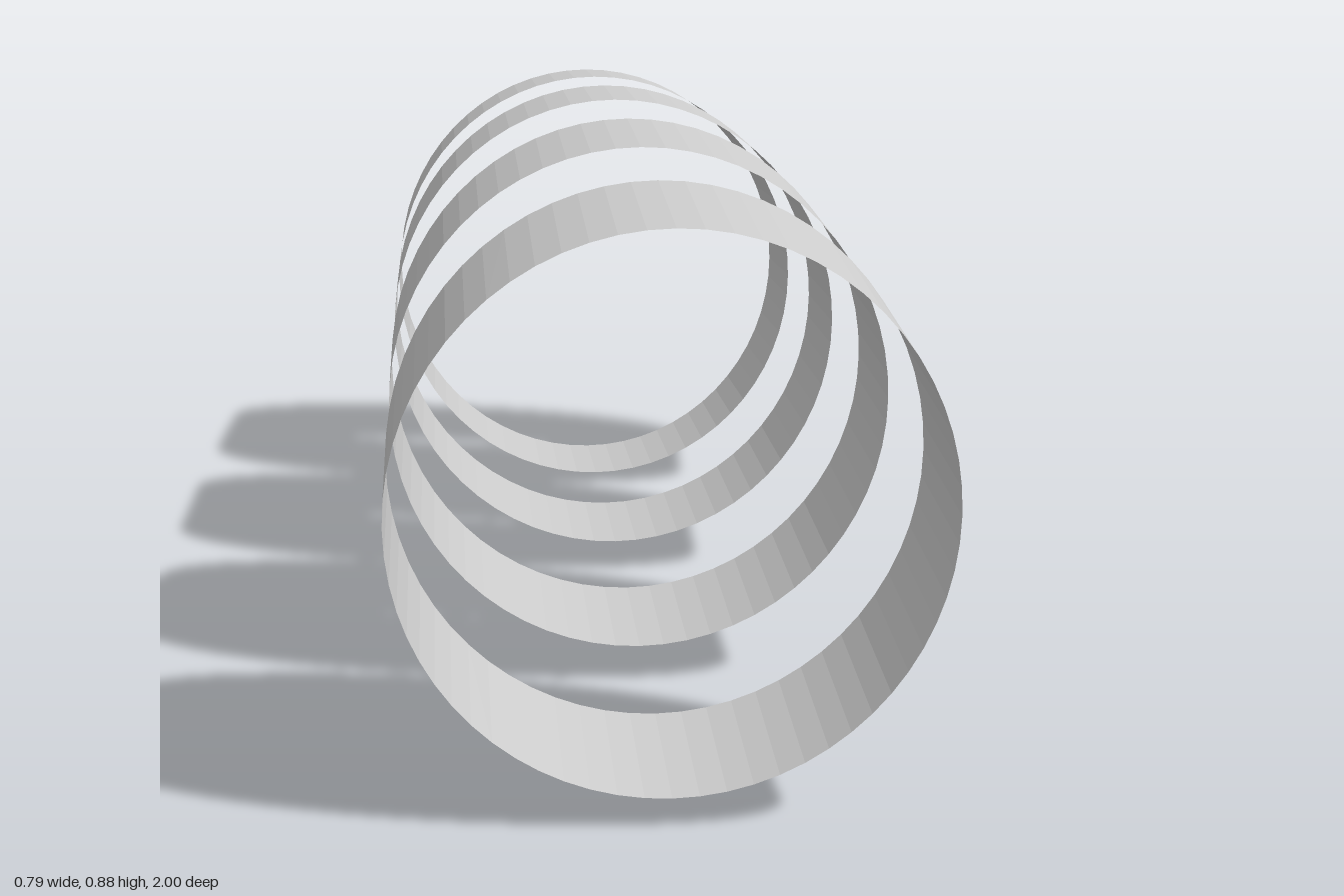
import * as THREE from 'three';

const HALF_WIDTH = 0.397;
const SEGMENTS = 64;

// Each ring: front rim then back rim, each as [top z, top y, bottom z, bottom y]
const RINGS = [
  { name: 'frontRing', front: [1.0, 0.865, 0.985, 0.047], back: [0.722, 0.881, 0.711, 0.062] },
  { name: 'frontMiddleRing', front: [0.43, 0.882, 0.428, 0.063], back: [0.15, 0.885, 0.152, 0.066] },
  { name: 'backMiddleRing', front: [-0.139, 0.876, -0.129, 0.057], back: [-0.425, 0.863, -0.405, 0.045] },
  { name: 'backRing', front: [-0.713, 0.842, -0.685, 0.023], back: [-1.0, 0.82, -0.962, 0.001] },
];

// Open band lofted between two tilted elliptical rims
function bandGeometry(front, back) {
  const geometry = new THREE.CylinderGeometry(1, 1, 1, SEGMENTS, 1, true);
  geometry.rotateX(Math.PI / 2); // axis along z, front rim at +z
  const p = geometry.attributes.position;
  for (let i = 0; i < p.count; i++) {
    const [zTop, yTop, zBottom, yBottom] = p.getZ(i) > 0 ? front : back;
    const t = (p.getY(i) + 1) / 2; // 0 at the bottom, 1 at the top
    p.setXYZ(
      i,
      p.getX(i) * HALF_WIDTH,
      THREE.MathUtils.lerp(yBottom, yTop, t),
      THREE.MathUtils.lerp(zBottom, zTop, t)
    );
  }
  geometry.computeVertexNormals();
  return geometry;
}

export function createModel() {
  const group = new THREE.Group();
  group.name = 'ringRow';
  const material = new THREE.MeshStandardMaterial({
    color: 0xcccccc,
    flatShading: true,
    side: THREE.DoubleSide,
  });

  // Four thin rings following a gently arched path
  for (const { name, front, back } of RINGS) {
    const ring = new THREE.Mesh(bandGeometry(front, back), material);
    ring.name = name;
    group.add(ring);
  }
  return group;
}
